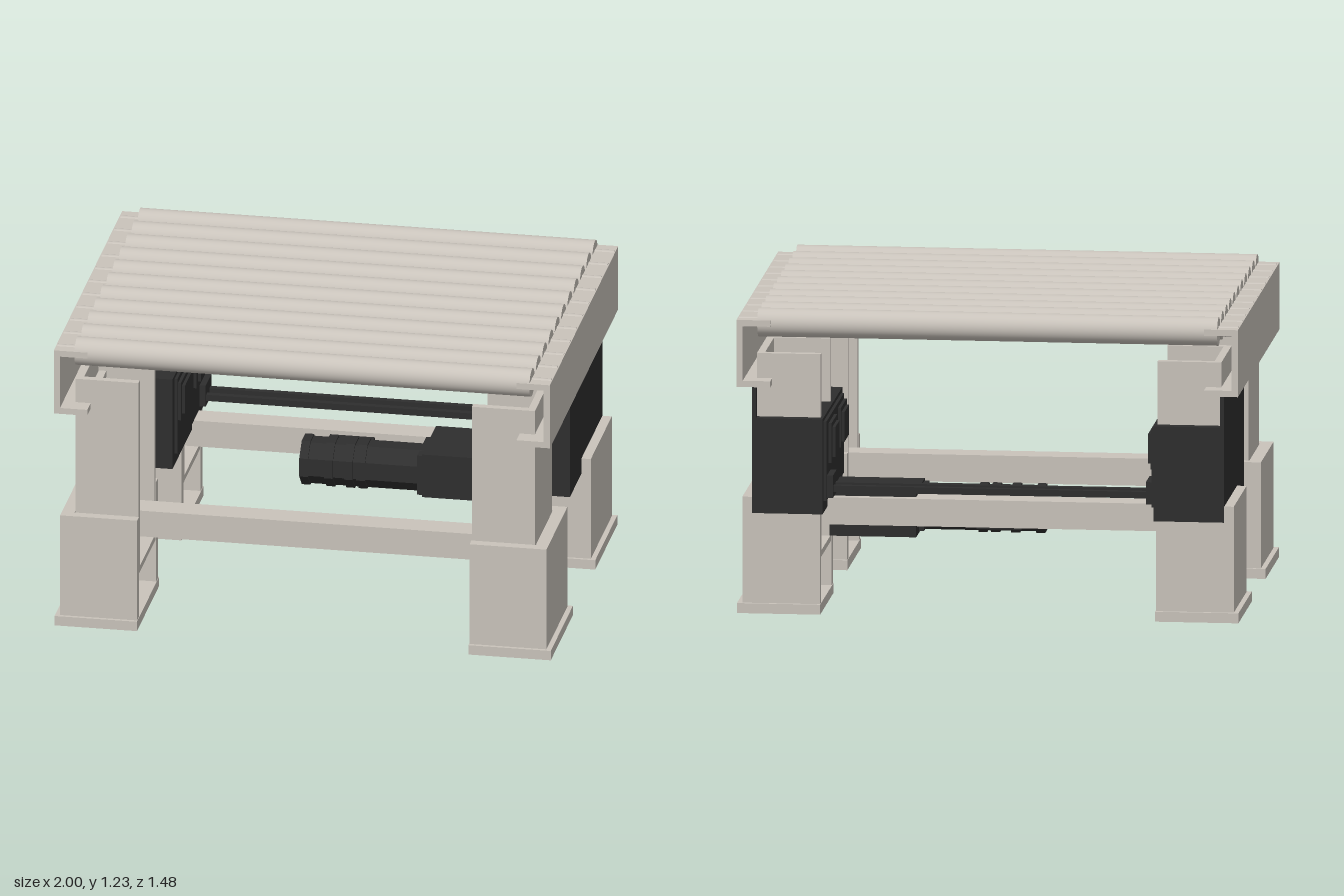
import * as THREE from 'three';

const painted = new THREE.MeshStandardMaterial({ color: 0xc9c3bb });
painted.name = 'warm grey paint';
const dark = new THREE.MeshStandardMaterial({ color: 0x2e2e2e });
dark.name = 'dark grey';

function add(parent, name, geometry, material) {
  const mesh = new THREE.Mesh(geometry, material);
  mesh.name = name;
  parent.add(mesh);
  return mesh;
}

// box given by its limits on each axis
function block(parent, name, material, [x0, x1], [y0, y1], [z0, z1]) {
  const mesh = add(parent, name, new THREE.BoxGeometry(Math.abs(x1 - x0), Math.abs(y1 - y0), Math.abs(z1 - z0)), material);
  mesh.position.set((x0 + x1) / 2, (y0 + y1) / 2, (z0 + z1) / 2);
  return mesh;
}

// cylinder lying along x
function bar(parent, name, material, [x0, x1], y, z, radius, sides = 32) {
  const geometry = new THREE.CylinderGeometry(radius, radius, x1 - x0, sides);
  if (sides === 8) geometry.rotateY(Math.PI / 8);
  const mesh = add(parent, name, sides === 8 ? geometry.toNonIndexed() : geometry, material);
  if (sides === 8) mesh.geometry.computeVertexNormals();
  mesh.rotation.z = -Math.PI / 2;
  mesh.position.set((x0 + x1) / 2, y, z);
  return mesh;
}

// C-shaped outline, open towards -x
function channel(x0, x1, a0, a1, web, flange) {
  const points = [[x0, a0], [x1, a0], [x1, a1], [x0, a1], [x0, a1 - flange],
    [x1 - web, a1 - flange], [x1 - web, a0 + flange], [x0, a0 + flange]];
  return new THREE.Shape(points.map(([x, a]) => new THREE.Vector2(x, a)));
}

// upright channel, the outline lying in x and z
function uprightChannel(parent, name, [x0, x1], [y0, y1], [z0, z1], web, flange) {
  const shape = channel(x0, x1, -z1, -z0, web, flange);
  const geometry = new THREE.ExtrudeGeometry(shape, { depth: y1 - y0, bevelEnabled: false });
  geometry.rotateX(-Math.PI / 2);
  add(parent, name, geometry, painted).position.y = y0;
}

// telescopic leg, built for +x and +z
function leg() {
  const group = new THREE.Group();
  block(group, 'footPlate', painted, [0.668, 1], [0, 0.04], [0.242, 0.722]);
  uprightChannel(group, 'lowerLeg', [0.67, 0.98], [0.04, 0.467], [0.254, 0.708], 0.05, 0.04);
  uprightChannel(group, 'upperLeg', [0.672, 0.926], [0.22, 1.04], [0.295, 0.668], 0.03, 0.03);
  block(group, 'legShelf', painted, [0.672, 0.926], [0.22, 0.245], [0.295, 0.668]);
  return group;
}

// rail and drive cover for the +x side
function sideAssembly() {
  const group = new THREE.Group();
  const rail = new THREE.ExtrudeGeometry(channel(0.865, 1, 0.915, 1.185, 0.025, 0.025), { depth: 1.48, bevelEnabled: false });
  add(group, 'sideRail', rail, painted).position.z = -0.74;

  const cover = new THREE.Group();
  cover.name = 'driveCover';
  group.add(cover);
  block(cover, 'coverBox', dark, [0.66, 0.935], [0.402, 0.785], [-0.709, -0.004]);
  block(cover, 'outerPanel', dark, [0.925, 0.942], [0.402, 0.915], [-0.709, -0.004]);
  block(cover, 'innerPanel', dark, [0.648, 0.662], [0.45, 0.77], [-0.67, -0.05]);
  for (const [z0, z1] of [[-0.6, -0.4], [-0.27, -0.06]]) {
    block(cover, 'bearingPlate', dark, [0.636, 0.65], [0.59, 0.75], [z0, z1]);
    block(cover, 'bearingCap', dark, [0.624, 0.638], [0.61, 0.73], [z0 + 0.025, z1 - 0.025]);
  }
  block(cover, 'shaftMount', dark, [0.624, 0.65], [0.46, 0.55], [-0.66, -0.53]);
  return group;
}

// motor, gearbox and the shafts between the covers
function drive() {
  const group = new THREE.Group();
  group.name = 'driveUnit';
  const y = 0.367, z = -0.29;
  bar(group, 'motorBody', dark, [-0.18, 0.31], y, z, 0.094, 8);
  for (const x of [-0.185, -0.085, -0.005, 0.045]) bar(group, 'motorRib', dark, [x, x + 0.035], y, z, 0.101, 8);
  block(group, 'terminalBox', dark, [-0.1, 0.08], [0.3, 0.43], [-0.41, -0.33]);
  block(group, 'gearbox', dark, [0.31, 0.655], [0.278, 0.46], [-0.5, -0.195]);
  block(group, 'gearboxFlange', dark, [0.29, 0.325], [0.285, 0.452], [-0.4, -0.2]);
  for (const shaftZ of [-0.625, -0.555]) block(group, 'driveShaft', dark, [-0.65, 0.65], [0.48, 0.506], [shaftZ - 0.013, shaftZ + 0.013]);
  return group;
}

export function createModel() {
  const model = new THREE.Group();
  model.name = 'rollerTable';

  // legs and sides, turned or mirrored by rebuilding the geometry
  const mirror = (group, name, sx, sz) => {
    group.name = name;
    group.scale.set(sx, 1, sz);
    model.add(group);
  };
  for (const sx of [1, -1]) {
    const side = sx > 0 ? 'left' : 'right';
    mirror(sideAssembly(), side + 'Side', sx, 1);
    mirror(leg(), side + 'FrontLeg', sx, 1);
    mirror(leg(), side + 'BackLeg', sx, -1);
  }

  // cross beams between the legs
  for (const z of [0.482, -0.482]) block(model, 'crossBeam', painted, [-0.9, 0.9], [0.33, 0.44], [z - 0.055, z + 0.055]);

  // rollers with their axles
  for (let i = 0; i < 11; i++) {
    const z = 0.682 - i * 0.1364;
    bar(model, 'roller', painted, [-0.917, 0.917], 1.168, z, 0.057, 40);
    bar(model, 'axle', painted, [-0.995, 0.995], 1.168, z, 0.021, 16);
  }

  model.add(drive());
  return model;
}
